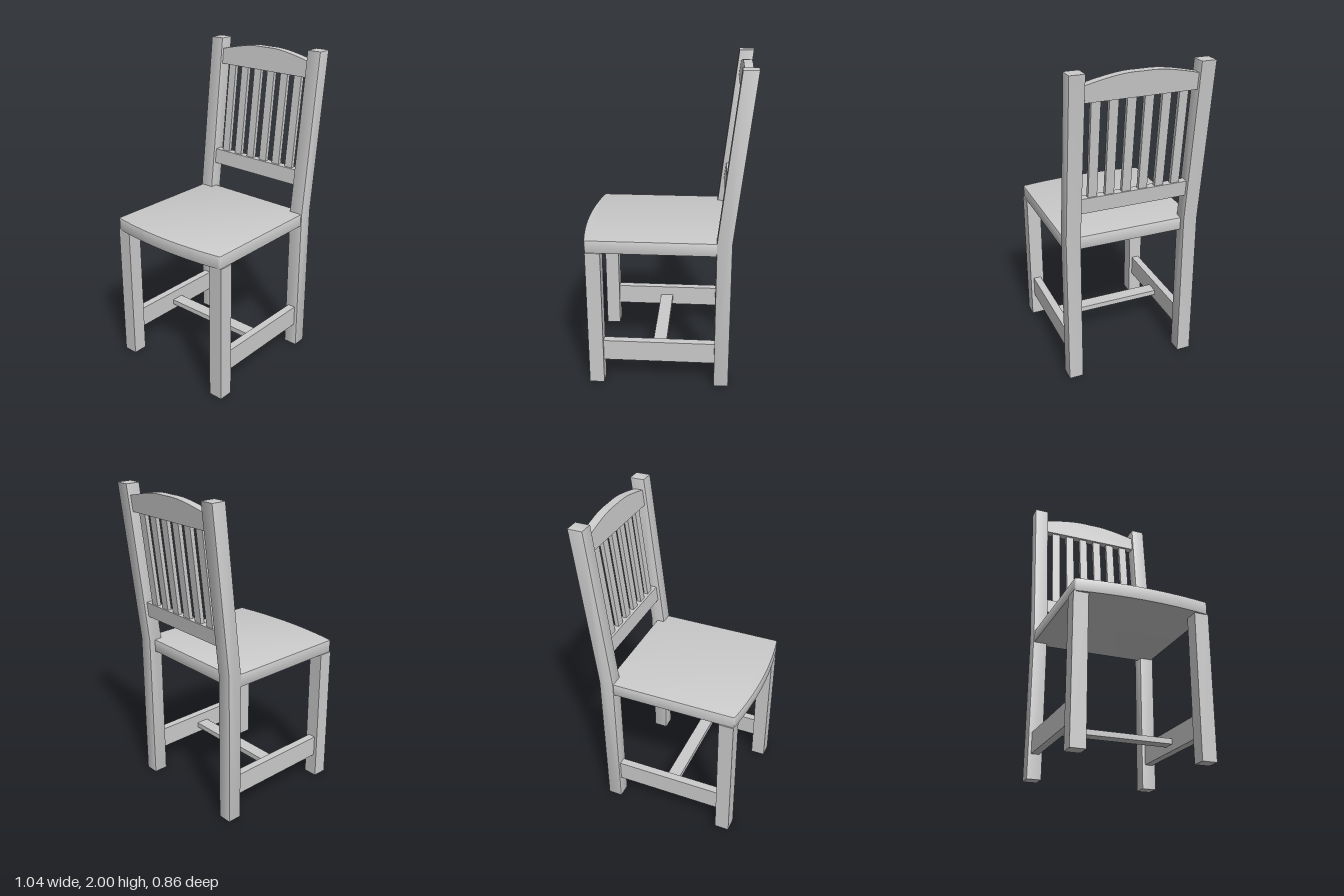
import * as THREE from 'three';
import { toCreasedNormals } from 'three/addons/utils/BufferGeometryUtils.js';

const SEAT_TOP = 0.98;
const LEAN = 0.115 / 1.02; // backward lean of the back, per unit of height
const POST_Z = 0.384;
const backX = (y) => 0.357 + (y - SEAT_TOP) * LEAN;

const material = new THREE.MeshStandardMaterial({ color: 0xcccccc });

function add(group, name, geometry) {
  const mesh = new THREE.Mesh(toCreasedNormals(geometry, 0.5), material);
  mesh.name = name;
  group.add(mesh);
  return mesh;
}

// Box given by its centre and size
function box(w, h, d, x, y, z) {
  return new THREE.BoxGeometry(w, h, d).translate(x, y, z);
}

// Moves an upright part at x = 0 onto the leaning plane of the back
function lean(geometry) {
  const p = geometry.attributes.position;
  for (let i = 0; i < p.count; i++) p.setX(i, p.getX(i) + backX(p.getY(i)));
  geometry.computeVertexNormals();
  return geometry;
}

// Extrudes a shape centred on z = 0, with a small softened edge
function slab(shape, depth, bevel) {
  const g = new THREE.ExtrudeGeometry(shape, {
    depth: depth - 2 * bevel, bevelEnabled: bevel > 0, bevelSize: bevel,
    bevelThickness: bevel, bevelOffset: -bevel, bevelSegments: 2, curveSegments: 20,
  });
  return g.translate(0, 0, -depth / 2 + bevel);
}

export function createModel() {
  const chair = new THREE.Group();
  chair.name = 'chair';

  // Seat with a bowed front edge, drawn in plan (x, z)
  const plan = new THREE.Shape();
  plan.moveTo(0.362, -0.424);
  plan.lineTo(0.362, 0.424);
  plan.lineTo(-0.472, 0.424);
  plan.quadraticCurveTo(-0.483, 0.424, -0.485, 0.41);
  plan.quadraticCurveTo(-0.553, 0, -0.485, -0.41);
  plan.quadraticCurveTo(-0.483, -0.424, -0.472, -0.424);
  plan.closePath();
  const seat = slab(plan, 0.083, 0.005);
  seat.rotateX(-Math.PI / 2).translate(0, SEAT_TOP - 0.0415, 0);
  add(chair, 'seat', seat);

  // Profile of a back leg that bends at the seat and becomes the back post
  const profile = new THREE.Shape([
    [0.311, 0], [0.403, 0], [0.403, SEAT_TOP], [0.518, 2], [0.426, 2], [0.311, SEAT_TOP],
  ].map(([x, y]) => new THREE.Vector2(x, y)));

  for (const side of [1, -1]) {
    const label = side > 0 ? 'Near' : 'Far';
    add(chair, 'backPost' + label, slab(profile, 0.092, 0.003)).position.z = side * POST_Z;
    add(chair, 'frontLeg' + label, box(0.093, 0.9, 0.092, -0.434, 0.45, side * POST_Z));
    add(chair, 'sideStretcher' + label, box(0.72, 0.136, 0.05, -0.037, 0.223, side * POST_Z));
  }

  // Thin bar joining the side stretchers
  add(chair, 'crossStretcher', box(0.085, 0.034, 0.74, -0.04, 0.212, 0));

  // Lower back rail
  add(chair, 'lowerRail', lean(box(0.05, 0.098, 0.69, 0, 1.199, 0)));

  // Arched crest rail, drawn in (z, y)
  const crest = new THREE.Shape();
  crest.moveTo(-0.345, 1.832);
  crest.lineTo(0.345, 1.832);
  crest.lineTo(0.345, 1.929);
  crest.bezierCurveTo(0.12, 1.985, 0.07, 1.977, 0, 1.977);
  crest.bezierCurveTo(-0.07, 1.977, -0.12, 1.985, -0.345, 1.929);
  crest.closePath();
  add(chair, 'crestRail', lean(slab(crest, 0.054, 0).rotateY(Math.PI / 2)));

  // Upright slats between the rails
  for (let i = 0; i < 6; i++) {
    add(chair, 'slat' + (i + 1), lean(box(0.026, 0.62, 0.055, 0.003, 1.54, (i - 2.5) * 0.105)));
  }

  return chair;
}
